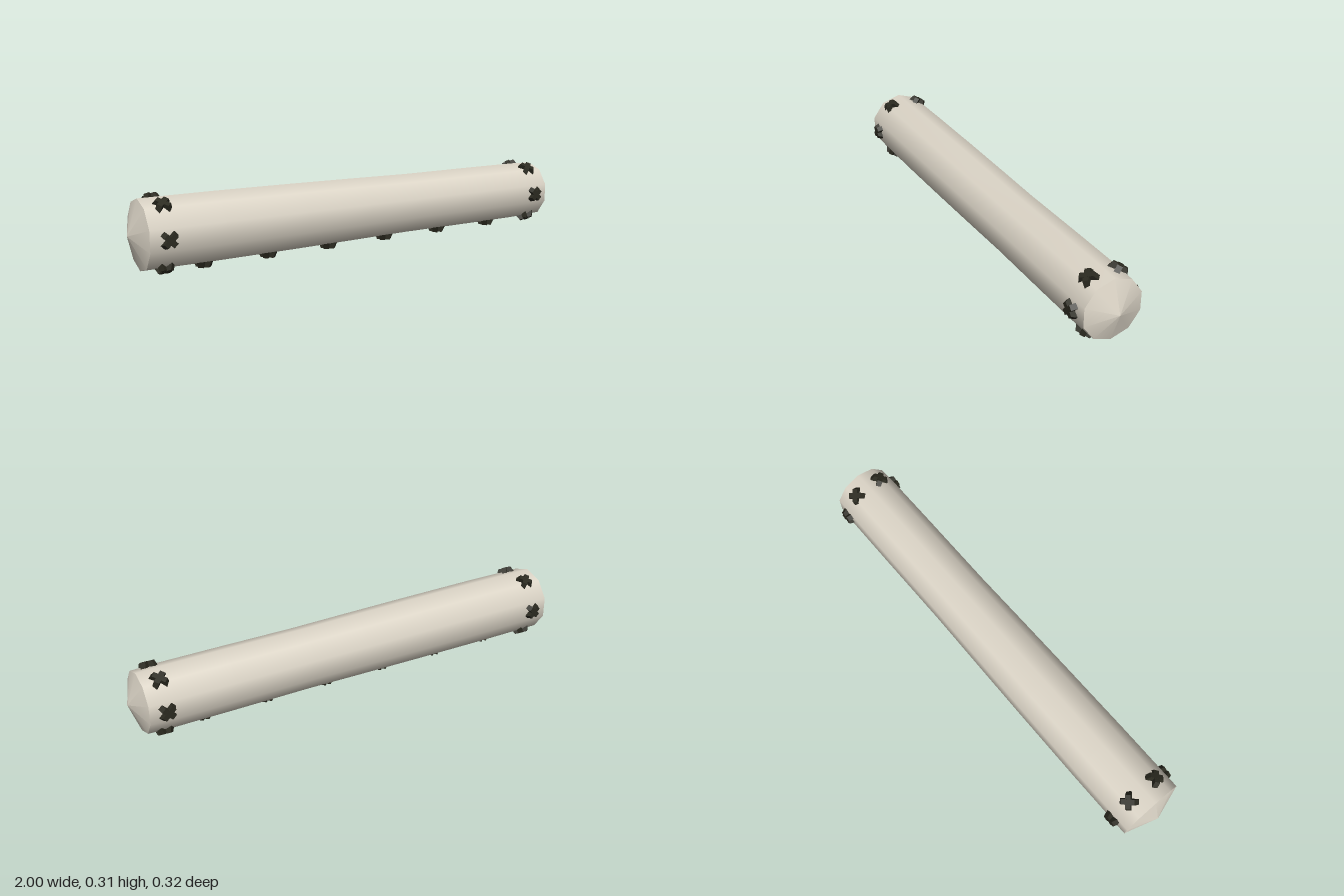
import * as THREE from 'three';

const AXIS_Y = 0.158;
const SIDES = 10;

// [x, radius] along the roll
const PROFILE = [
  [-0.955, 0.142], [-0.65, 0.142], [-0.3, 0.139], [0, 0.135],
  [0.25, 0.131], [0.6, 0.131], [0.85, 0.13], [0.955, 0.126],
];

function radiusAt(x) {
  const i = Math.max(1, PROFILE.findIndex((p) => p[0] >= x));
  const [x0, r0] = PROFILE[i - 1], [x1, r1] = PROFILE[i];
  return r0 + (r1 - r0) * (x - x0) / (x1 - x0);
}

// Ten-sided surface of revolution lying along x, with a ridge at the top
function revolve(points, material, name) {
  const geometry = new THREE.LatheGeometry(
    points.map(([x, r]) => new THREE.Vector2(r, x)), SIDES, Math.PI / 2);
  geometry.rotateZ(-Math.PI / 2);
  const mesh = new THREE.Mesh(geometry, material);
  mesh.name = name;
  mesh.position.y = AXIS_Y;
  return mesh;
}

// Bar with sloping ends, lying along x with its outer face at +z
function stitchBar() {
  const shape = new THREE.Shape([
    new THREE.Vector2(-0.039, -0.01), new THREE.Vector2(0.039, -0.01),
    new THREE.Vector2(0.028, 0.016), new THREE.Vector2(-0.028, 0.016),
  ]);
  const geometry = new THREE.ExtrudeGeometry(shape, { depth: 0.022, bevelEnabled: false });
  return geometry.translate(0, 0, -0.011).rotateX(Math.PI / 2);
}

export function createModel() {
  const cloth = new THREE.MeshStandardMaterial({ color: 0xdcd5c7 });
  cloth.name = 'cloth';
  const thread = new THREE.MeshStandardMaterial({ color: 0x2b2a20 });
  thread.name = 'thread';

  const model = new THREE.Group();
  model.name = 'stitchedRoll';

  // Body and shallow pointed ends
  const first = PROFILE[0], last = PROFILE[PROFILE.length - 1];
  model.add(revolve(PROFILE, cloth, 'body'));
  model.add(revolve([[-1, 0], first], cloth, 'rightEnd'));
  model.add(revolve([last, [1, 0]], cloth, 'leftEnd'));

  // Cross stitch at x, turned round the roll from the front
  const bar = stitchBar();
  function addStitch(x, angle, name) {
    const pivot = new THREE.Group();
    pivot.name = name;
    pivot.position.set(x, AXIS_Y, 0);
    pivot.rotation.x = angle;
    for (const side of [-1, 1]) {
      const mesh = new THREE.Mesh(bar, thread);
      mesh.name = 'stitchBar';
      // Tiny offset keeps the crossing faces apart
      mesh.position.z = radiusAt(x) + (side > 0 ? 0 : -0.0006);
      mesh.rotation.z = side * Math.PI / 4;
      pivot.add(mesh);
    }
    model.add(pivot);
  }

  // Ring of six stitches near each end
  for (const x of [-0.88, 0.885]) {
    for (let i = 0; i < 6; i++) addStitch(x, i * Math.PI / 3, 'endStitch');
  }
  // Row of stitches along the underside seam
  for (let i = 0; i < 6; i++) addStitch(-0.7 + i * 0.28, Math.PI / 2, 'seamStitch');

  return model;
}
